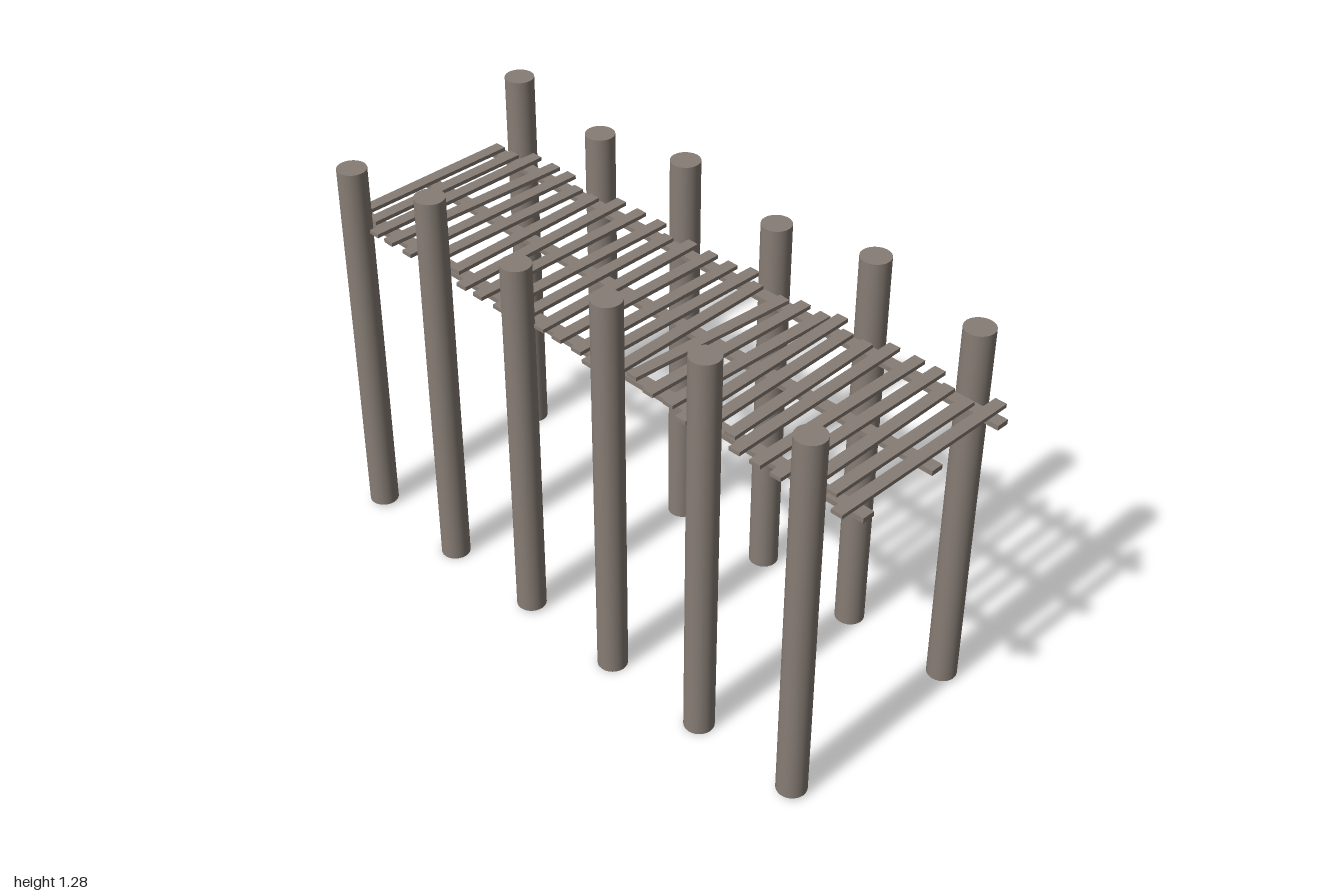
import * as THREE from 'three';

const wood = new THREE.MeshStandardMaterial({ color: 0x877d75 });
wood.name = 'weathered wood';

// Round post with a very slight natural bow along its height
function makePost(x, z, bottom, top, bow) {
  const height = top - bottom;
  const geo = new THREE.CylinderGeometry(0.045, 0.045, height, 24, 8);
  const pos = geo.attributes.position;
  for (let i = 0; i < pos.count; i++) {
    const t = pos.getY(i) / height + 0.5;
    const shift = bow * Math.sin(t * Math.PI) ** 2;
    pos.setX(i, pos.getX(i) + shift);
    pos.setZ(i, pos.getZ(i) - shift);
  }
  const post = new THREE.Mesh(geo, wood);
  post.name = 'post';
  post.position.set(x, bottom + height / 2, z);
  return post;
}

// Each plank: z at its -x end, z at its +x end, half length
const PLANKS = [
  [-0.97, -0.97, 0.28], [-0.905, -0.905, 0.28], [-0.845, -0.845, 0.32], [-0.78, -0.76, 0.32],
  [-0.695, -0.69, 0.32], [-0.62, -0.615, 0.28], [-0.53, -0.545, 0.28], [-0.455, -0.47, 0.32],
  [-0.385, -0.385, 0.32], [-0.3, -0.3, 0.32], [-0.225, -0.23, 0.28], [-0.147, -0.157, 0.305],
  [-0.077, -0.075, 0.305], [0.002, 0.002, 0.305], [0.065, 0.07, 0.325], [0.14, 0.125, 0.28],
  [0.19, 0.225, 0.28], [0.273, 0.284, 0.302], [0.345, 0.358, 0.3], [0.416, 0.4, 0.325],
  [0.475, 0.459, 0.28], [0.549, 0.528, 0.28], [0.602, 0.59, 0.32], [0.675, 0.675, 0.322],
  [0.745, 0.745, 0.322], [0.82, 0.81, 0.28], [0.883, 0.883, 0.27], [0.947, 0.947, 0.322],
];

export function createModel() {
  const dock = new THREE.Group();
  dock.name = 'dock';

  // Two rows of posts, some a little shorter than the rest
  const posts = new THREE.Group();
  posts.name = 'posts';
  const shortPosts = { '-1': [0, 3, 5], '1': [0, 2, 4] };
  for (const side of [-1, 1]) {
    for (let i = 0; i < 6; i++) {
      const short = shortPosts[side].includes(i);
      const z = 0.852 - i * 0.355;
      posts.add(makePost(side * 0.324, z, short ? 0.01 : 0, short ? 1.225 : 1.28, short ? 0.003 : -0.002));
    }
  }
  dock.add(posts);

  // Three long beams under the deck
  for (const x of [-0.267, -0.005, 0.26]) {
    const beam = new THREE.Mesh(new THREE.BoxGeometry(0.04, 0.015, 2), wood);
    beam.name = 'beam';
    beam.position.set(x, 1.0225, 0);
    dock.add(beam);
  }

  // Uneven deck planks
  const deck = new THREE.Group();
  deck.name = 'deck';
  for (const [zLeft, zRight, half] of PLANKS) {
    const plank = new THREE.Mesh(new THREE.BoxGeometry(half * 2, 0.012, 0.037), wood);
    plank.name = 'plank';
    plank.position.set(-0.004, 1.036, (zLeft + zRight) / 2);
    plank.rotation.y = -Math.atan2(zRight - zLeft, half * 2);
    deck.add(plank);
  }
  dock.add(deck);
  return dock;
}
